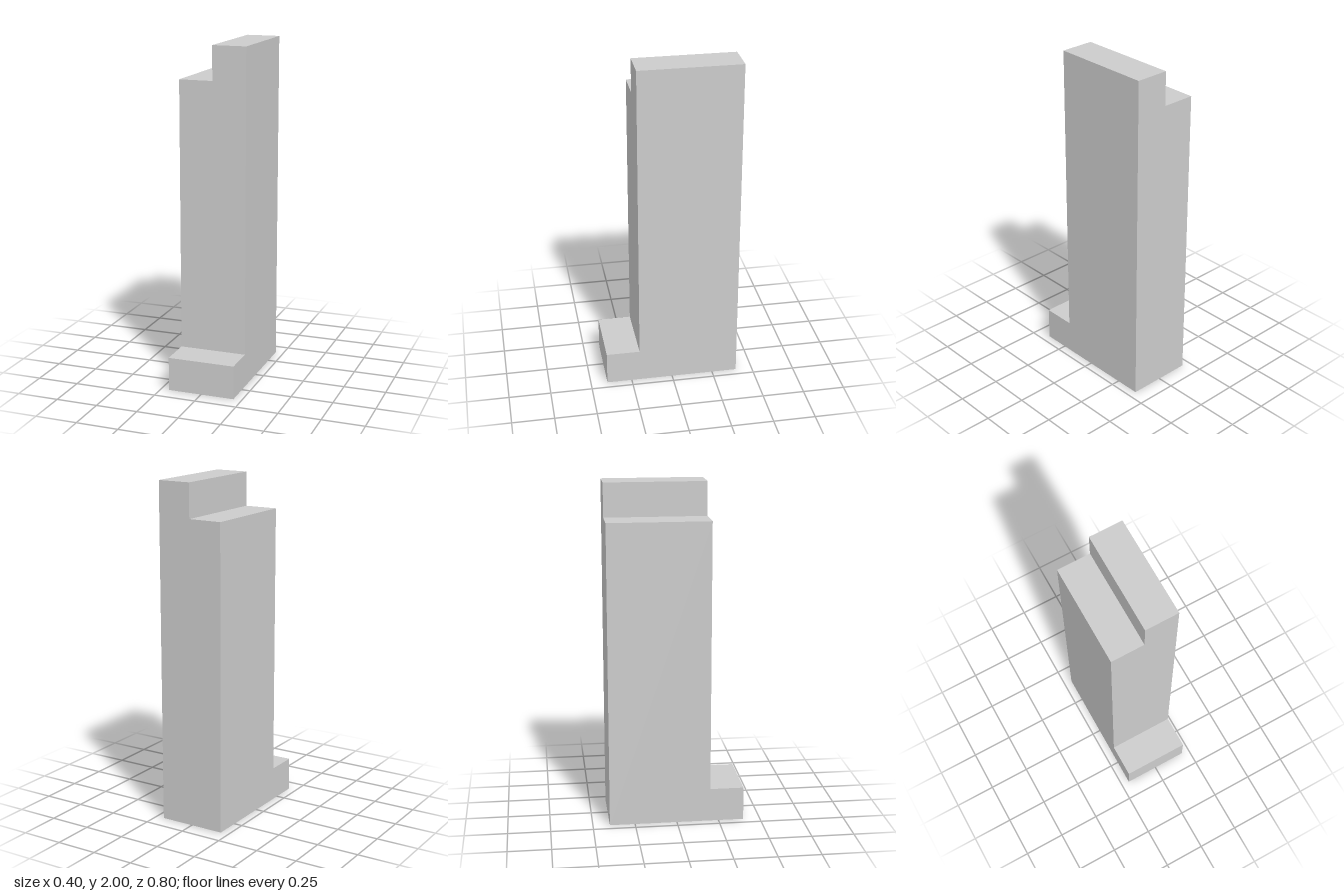
import * as THREE from 'three';

export function createModel() {
  const group = new THREE.Group();
  group.name = 'steppedPillar';
  const material = new THREE.MeshStandardMaterial({ color: 0xcccccc, flatShading: true });

  const add = (name, geometry, x, y, z) => {
    const mesh = new THREE.Mesh(geometry, material);
    mesh.name = name;
    mesh.position.set(x, y, z);
    group.add(mesh);
  };

  // Tall column: front outline with a raised step on its left half
  const outline = new THREE.Shape(
    [[-0.2, 0], [0.2, 0], [0.2, 2], [0, 2], [0, 1.8], [-0.2, 1.8]]
      .map(([x, y]) => new THREE.Vector2(x, y))
  );
  add('column', new THREE.ExtrudeGeometry(outline, { depth: 0.6, bevelEnabled: false }), 0, 0, -0.4);

  // Low foot projecting forward at the base
  add('foot', new THREE.BoxGeometry(0.4, 0.2, 0.2), 0, 0.1, 0.3);

  return group;
}
